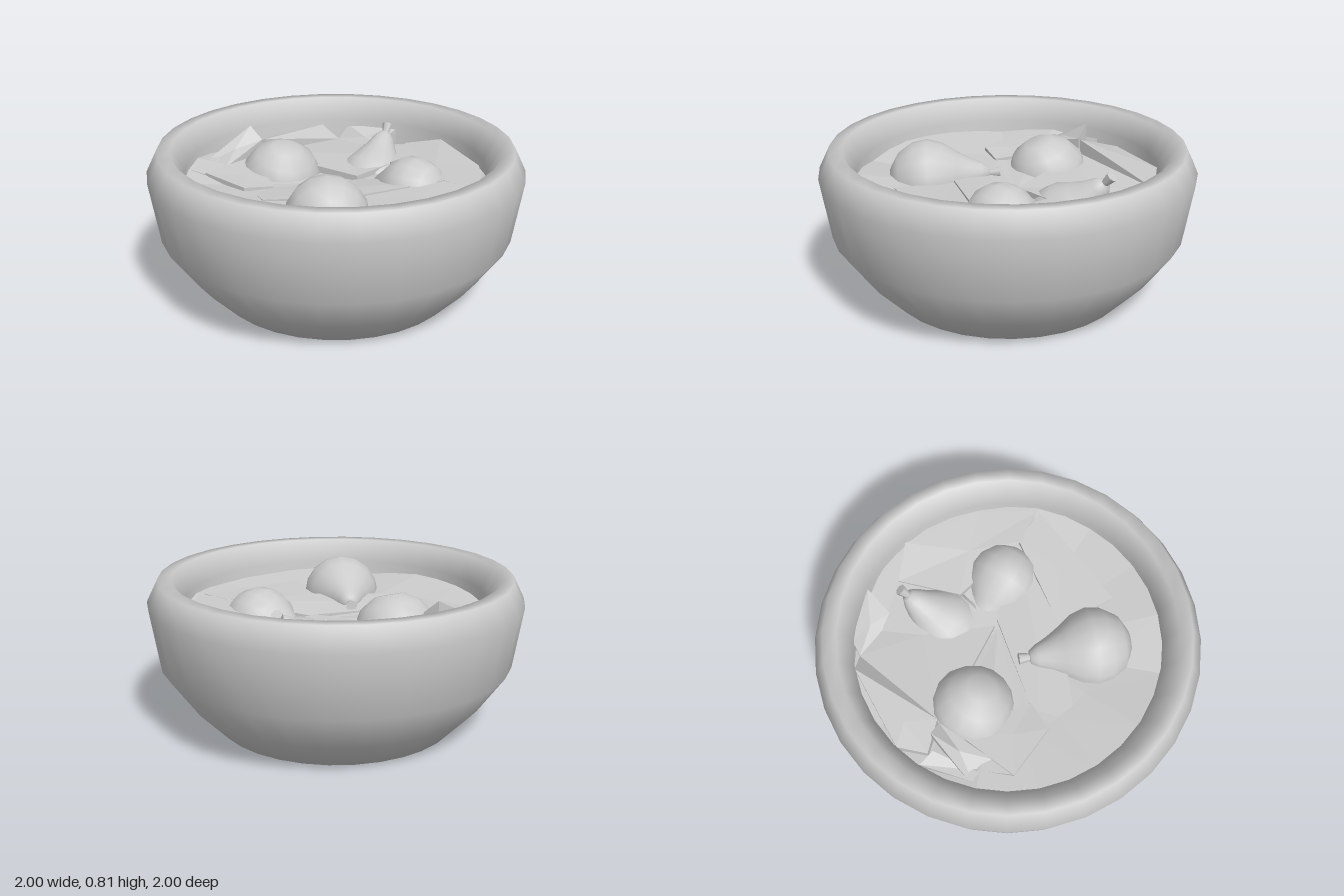
import * as THREE from 'three';
import { mergeVertices } from 'three/addons/utils/BufferGeometryUtils.js';

const smooth = new THREE.MeshStandardMaterial({ color: 0xcccccc });
const faceted = new THREE.MeshStandardMaterial({ color: 0xcccccc, flatShading: true, side: THREE.DoubleSide });

function add(parent, name, geometry, material) {
  const mesh = new THREE.Mesh(geometry, material);
  mesh.name = name;
  parent.add(mesh);
  return mesh;
}

// Turned shape with one soft normal per corner
function lathe(points, segments) {
  const g = new THREE.LatheGeometry(points.map(([r, y]) => new THREE.Vector2(r, y)), segments);
  g.deleteAttribute('uv');
  g.deleteAttribute('normal');
  const merged = mergeVertices(g);
  merged.computeVertexNormals();
  return merged;
}

function triangles(list) {
  const g = new THREE.BufferGeometry();
  g.setAttribute('position', new THREE.Float32BufferAttribute(list.flat(), 3));
  g.computeVertexNormals();
  return g;
}

// Leaf: a faceted top over a corner loop (counterclockwise from above), with sides going down
function leafGeometry(corners, depth = 0.08) {
  const mid = [0, 1, 2].map(k => corners.reduce((s, c) => s + c[k], 0) / corners.length);
  const low = ([x, y, z]) => [x, y - depth, z];
  const list = [];
  corners.forEach((a, i) => {
    const b = corners[(i + 1) % corners.length];
    list.push(mid, a, b, a, low(a), b, b, low(a), low(b));
  });
  return triangles(list);
}

// Uneven bed of leaves, filling the bowl from wall to wall, with a hollow at the back right
function bedGeometry() {
  const n = 16;
  const ring = (r, base, amp, i) => {
    const t = (i % n) / n * Math.PI * 2;
    const hollow = 0.1 * r * Math.max(0, Math.cos(t - 2.2)) ** 2;
    return [r * Math.cos(t), base - hollow + amp * Math.sin((i % n) * 2.3), -r * Math.sin(t)];
  };
  const list = [];
  for (let i = 0; i < n; i++) {
    const a = ring(0.48, 0.6, 0.01, i), b = ring(0.48, 0.6, 0.01, i + 1);
    const c = ring(0.825, 0.63, 0.02, i), d = ring(0.825, 0.63, 0.02, i + 1);
    list.push([0.05, 0.57, -0.1], a, b, a, c, d, a, d, b);
  }
  return triangles(list);
}

// Pear: round body at the origin, neck and stem along +y
function makePear(position, direction, radius) {
  const pear = new THREE.Group();
  pear.name = 'pear';
  const body = [[0, -0.9], [0.35, -0.93], [0.72, -0.7], [0.95, -0.32], [1, 0.05], [0.88, 0.42],
    [0.62, 0.78], [0.42, 1.1], [0.29, 1.38], [0.17, 1.55], [0, 1.58]];
  add(pear, 'pearBody', lathe(body, 16), smooth);
  add(pear, 'pearStem', new THREE.CylinderGeometry(0.15, 0.09, 0.3, 7), smooth).position.y = 1.68;
  pear.scale.setScalar(radius);
  pear.position.set(...position);
  pear.quaternion.setFromUnitVectors(new THREE.Vector3(0, 1, 0), new THREE.Vector3(...direction).normalize());
  return pear;
}

export function createModel() {
  const model = new THREE.Group();
  model.name = 'fruitBowl';

  // Bowl: outer wall, rounded rim, inner wall
  add(model, 'bowl', lathe([[0, 0], [0.66, 0], [0.81, 0.16], [0.95, 0.36], [1, 0.69], [0.94, 0.81],
    [0.87, 0.81], [0.8, 0.69], [0.83, 0.5], [0.77, 0.36], [0.6, 0.16], [0, 0.1]], 32), smooth);

  // Leaf bed and the larger leaves on it
  add(model, 'leafBed', bedGeometry(), faceted);
  const leaves = [
    [[-0.48, 0.57, -0.62], [-0.56, 0.62, -0.04], [0.05, 0.6, -0.12], [0.09, 0.61, -0.36], [-0.03, 0.61, -0.69], [-0.3, 0.57, -0.61]],
    [[-0.57, 0.655, -0.57], [-0.56, 0.7, -0.05], [-0.48, 0.57, -0.62]],
    [[-0.57, 0.655, -0.57], [-0.78, 0.63, -0.15], [-0.72, 0.64, 0], [-0.56, 0.7, -0.05]],
    [[-0.45, 0.65, -0.68], [-0.48, 0.57, -0.62], [-0.3, 0.57, -0.61], [-0.2, 0.59, -0.63], [-0.17, 0.65, -0.79]],
    [[0.09, 0.59, -0.13], [-0.28, 0.59, 0.38], [-0.1, 0.61, 0.47], [0.24, 0.62, 0.17], [0.53, 0.64, -0.31]],
    [[0.53, 0.64, -0.29], [0.24, 0.61, 0.17], [0.53, 0.62, 0.32], [0.73, 0.64, -0.28]],
    [[-0.03, 0.62, -0.69], [0.09, 0.62, -0.37], [0.24, 0.62, -0.34], [0.53, 0.64, -0.27], [0.73, 0.64, -0.3], [0.55, 0.65, -0.56], [0.16, 0.66, -0.78]],
    [[-0.55, 0.63, 0.05], [-0.57, 0.63, 0.42], [-0.27, 0.62, 0.43], [-0.2, 0.6, 0.28]],
    [[-0.57, 0.7, -0.03], [-0.65, 0.77, -0.02], [-0.73, 0.6, 0.3], [-0.56, 0.62, 0.28]],
    [[-0.79, 0.64, 0], [-0.66, 0.63, 0.44], [-0.57, 0.62, 0.42], [-0.58, 0.6, 0.3], [-0.7, 0.67, 0.02]],
  ];
  const greens = new THREE.Group();
  greens.name = 'leaves';
  model.add(greens);
  leaves.forEach(corners => add(greens, 'leaf', leafGeometry(corners), faceted));

  // Pears: body centre, direction of the stem, radius
  const pears = [
    [[-0.37, 0.53, 0.03], [-0.3, -0.95, -0.1], 0.225],
    [[0.24, 0.58, 0.37], [-0.26, 0.03, -0.26], 0.215],
    [[0.32, 0.53, -0.25], [-0.26, -0.05, 0.01], 0.2],
    [[-0.04, 0.46, -0.37], [-0.06, 0.27, -0.23], 0.205],
  ];
  pears.forEach(p => model.add(makePear(...p)));

  return model;
}
